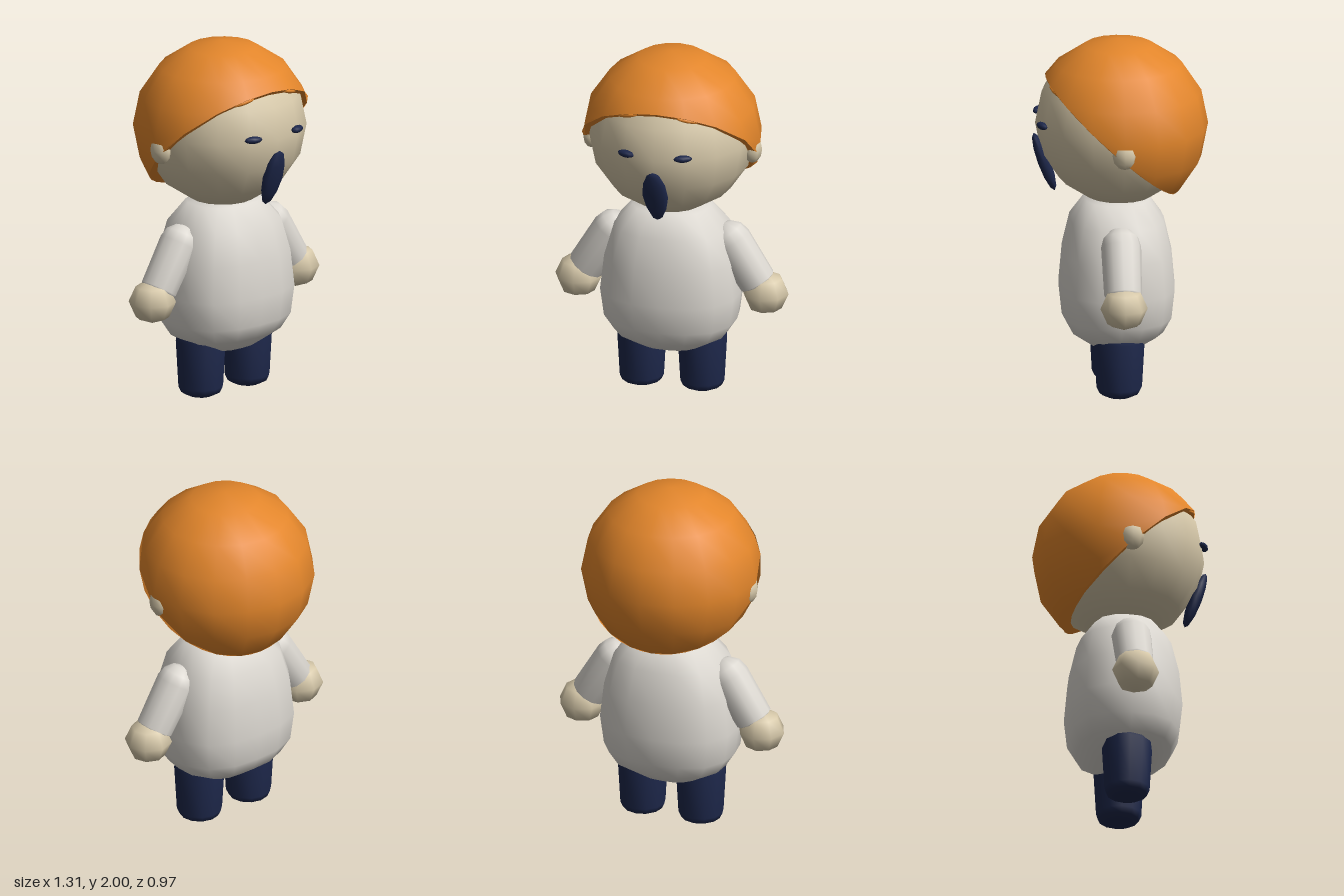
import * as THREE from 'three';
import { mergeVertices } from 'three/addons/utils/BufferGeometryUtils.js';

export function createModel() {
  const model = new THREE.Group();
  model.name = 'figure';

  const mat = (name, color, side = THREE.FrontSide) => {
    const m = new THREE.MeshStandardMaterial({ color, side });
    m.name = name;
    return m;
  };
  const skin = mat('skin', 0xd7c9aa);
  const white = mat('white', 0xdcd8d1);
  const navy = mat('navy', 0x1d274a);
  const orange = mat('orange', 0xe3862b, THREE.DoubleSide);

  const add = (name, geo, material, x = 0, y = 0, z = 0) => {
    const mesh = new THREE.Mesh(geo, material);
    mesh.name = name;
    mesh.position.set(x, y, z);
    model.add(mesh);
    return mesh;
  };
  const ellipsoid = (rx, ry, rz, w = 16, h = 8) => new THREE.SphereGeometry(1, w, h).scale(rx, ry, rz);
  const lathe = (pts, seg) => new THREE.LatheGeometry(pts.map(p => new THREE.Vector2(...p)), seg);

  // Head
  add('head', ellipsoid(0.46, 0.455, 0.462), skin, 0, 1.53, 0);

  // Hair: a sphere cut by a sloping plane y = drop + slope * z
  const hairY = 1.51, R = 0.49, slope = 0.92, drop = -0.09;
  const rimAngle = phi => {
    const c = Math.sin(phi);
    return Math.acos(drop / (R * Math.hypot(1, slope * c))) - Math.atan(slope * c);
  };
  const onSphere = (phi, t) => [-R * Math.cos(phi) * Math.sin(t), R * Math.cos(t), R * Math.sin(phi) * Math.sin(t)];
  const hair = new THREE.SphereGeometry(R, 16, 8);
  const { position, uv, normal } = hair.attributes;
  for (let i = 0; i < position.count; i++) {
    const phi = uv.getX(i) * Math.PI * 2;
    const theta = Math.min((1 - uv.getY(i)) * Math.PI, rimAngle(phi));
    const p = onSphere(phi, theta);
    position.setXYZ(i, ...p);
    normal.setXYZ(i, p[0] / R, p[1] / R, p[2] / R);
  }
  add('hair', hair.scale(1.01, 1, 1), orange, 0, hairY, 0.003);

  // Flat underside closing the hair against the head
  const rim = [0, drop, 0], faces = [];
  for (let i = 0; i < 16; i++) {
    const phi = i / 16 * Math.PI * 2;
    rim.push(...onSphere(phi, rimAngle(phi)));
    faces.push(0, 1 + (i + 1) % 16, 1 + i);
  }
  const under = new THREE.BufferGeometry();
  under.setAttribute('position', new THREE.Float32BufferAttribute(rim, 3));
  under.setIndex(faces);
  under.computeVertexNormals();
  add('hairUnderside', under.scale(1.01, 1, 1), orange, 0, hairY, 0.003);

  // Long dark mouth piece, tapering to a point below
  const mouth = ellipsoid(0.072, 0.175, 0.035, 8, 6);
  const mp = mouth.attributes.position;
  for (let i = 0; i < mp.count; i++) {
    if (mp.getY(i) < 0) mp.setX(i, mp.getX(i) * (1 + mp.getY(i) * 1.2));
  }
  add('mouth', mouth, navy, 0, 1.305, 0.412).rotation.x = 0.34;

  // Torso: a turned profile with its round section squared off
  const turned = lathe([[0, 0.245], [0.18, 0.275], [0.312, 0.355], [0.367, 0.44], [0.388, 0.6], [0.366, 0.8],
    [0.315, 0.98], [0.213, 1.1], [0, 1.1]], 16);
  turned.deleteAttribute('uv');
  turned.deleteAttribute('normal');
  const torso = mergeVertices(turned);
  const tp = torso.attributes.position, n = 2.6;
  for (let i = 0; i < tp.count; i++) {
    const x = tp.getX(i), z = tp.getZ(i), r = Math.hypot(x, z);
    if (r < 1e-6) continue;
    const k = r / (Math.abs(x) ** n + Math.abs(z) ** n) ** (1 / n);
    tp.setX(i, x * k);
    tp.setZ(i, z * k * 0.82);
  }
  torso.computeVertexNormals();
  add('torso', torso, white, 0, 0, 0.015);

  // Paired parts
  for (const s of [1, -1]) {
    const side = s > 0 ? 'left' : 'right';
    add(side + 'Ear', ellipsoid(0.052, 0.08, 0.068, 8, 6), skin, s * 0.452, 1.46, 0.003);
    add(side + 'Eye', ellipsoid(0.052, 0.02, 0.025, 8, 6), navy, s * 0.16, 1.555, 0.435).rotation.y = s * 0.36;
    const brow = add(side + 'Eyebrow', ellipsoid(0.07, 0.014, 0.022, 8, 6), orange, s * 0.17, 1.754, 0.36);
    brow.rotation.set(0, s * 0.4, -s * 0.25);

    // Sleeve runs down and outward into the hand
    const top = new THREE.Vector3(s * 0.335, 0.905, 0), end = new THREE.Vector3(s * 0.48, 0.675, 0);
    const len = top.distanceTo(end);
    const arm = add(side + 'Sleeve', lathe([[0, -len - 0.02], [0.08, -len - 0.015], [0.104, -len], [0.11, 0],
      [0.095, 0.055], [0.055, 0.095], [0, 0.11]], 12), white, top.x, top.y, 0.015);
    arm.quaternion.setFromUnitVectors(new THREE.Vector3(0, 1, 0), top.clone().sub(end).normalize());
    add(side + 'Hand', ellipsoid(0.13, 0.122, 0.13, 8, 4), skin, s * 0.525, 0.612, 0.013);

    // Leg with a rounded foot end
    add(side + 'Leg', lathe([[0, 0], [0.065, 0.01], [0.11, 0.032], [0.125, 0.065], [0.14, 0.33], [0.1, 0.42], [0, 0.44]], 12),
      navy, s * 0.17, 0, 0.013);
  }
  return model;
}
